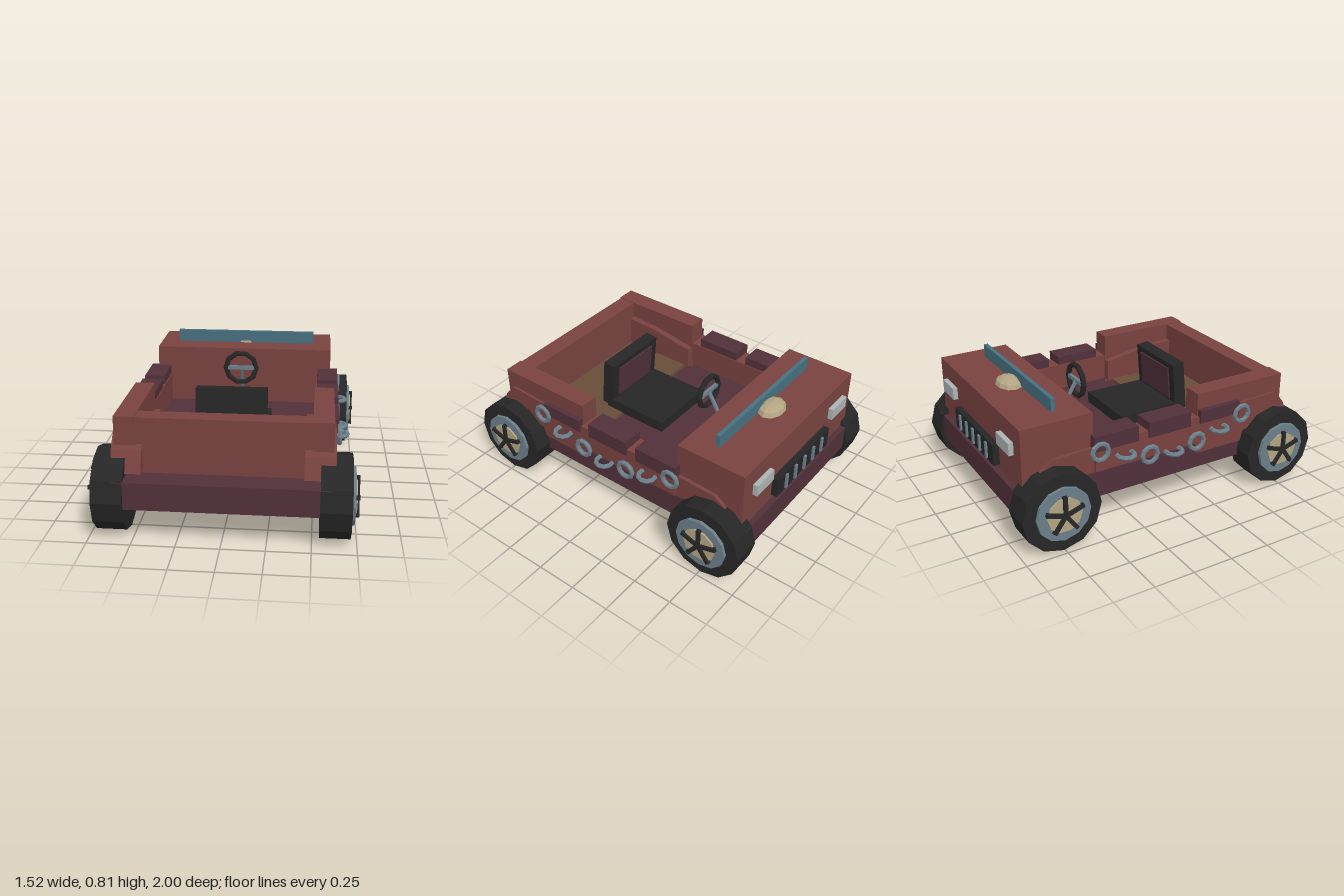
import * as THREE from 'three';

const mat = (name, color) => {
  const m = new THREE.MeshStandardMaterial({ color, flatShading: true });
  m.name = name;
  return m;
};

export function createModel() {
  const red = mat('body red', 0x78423f);
  const maroon = mat('dark maroon', 0x51303a);
  const black = mat('black', 0x262626);
  const steel = mat('blue grey steel', 0x6b7f8a);
  const tan = mat('tan', 0xb3a482);
  const glass = mat('blue glass', 0x477080);
  const brown = mat('brown floor', 0x684d38);
  const lamp = mat('lamp grey', 0xacb2b2);

  const car = new THREE.Group();
  car.name = 'openCar';

  const add = (name, geo, material, parent = car) => {
    const mesh = new THREE.Mesh(geo, material);
    mesh.name = name;
    parent.add(mesh);
    return mesh;
  };
  // Box given by its limits on each axis
  const box = (name, material, x0, x1, y0, y1, z0, z1, parent = car) => {
    const mesh = add(name, new THREE.BoxGeometry(x1 - x0, y1 - y0, z1 - z0), material, parent);
    mesh.position.set((x0 + x1) / 2, (y0 + y1) / 2, (z0 + z1) / 2);
    return mesh;
  };
  // Box on one side of the car; inner and outer are distances from the middle
  const sideBox = (name, material, s, inner, outer, ...rest) =>
    box(name, material, Math.min(s * inner, s * outer), Math.max(s * inner, s * outer), ...rest);
  // Side profile of (z, y) points, extruded across x
  const sidePanel = (name, material, s, inner, outer, points) => {
    const shape = new THREE.Shape(points.map(([z, y]) => new THREE.Vector2(z, y)));
    const geo = new THREE.ExtrudeGeometry(shape, { depth: outer - inner, bevelEnabled: false });
    geo.rotateY(-Math.PI / 2).translate(s > 0 ? outer : -inner, 0, 0);
    return add(name, geo, material);
  };

  // Chassis, hood and rear body
  box('chassis', maroon, -0.6, 0.6, 0.2, 0.36, -0.97, 0.97);
  box('hood', red, -0.59, 0.59, 0.355, 0.735, -0.935, -0.495);
  box('rearWall', red, -0.6, 0.6, 0.358, 0.685, 0.7, 0.815);
  box('rearFloor', brown, -0.49, 0.49, 0.355, 0.385, 0.23, 0.71);
  box('windscreen', glass, -0.47, 0.47, 0.73, 0.815, -0.69, -0.665);

  const dome = add('hoodDome', new THREE.SphereGeometry(1, 10, 6), tan);
  dome.scale.set(0.105, 0.055, 0.077);
  dome.position.set(0, 0.733, -0.733);

  // Grille and lamps
  box('grille', black, -0.29, 0.29, 0.39, 0.52, -0.973, -0.93);
  for (let i = -2; i <= 2; i++) {
    box('grilleBar', steel, i * 0.1 - 0.01, i * 0.1 + 0.01, 0.405, 0.505, -0.985, -0.965);
  }

  for (const s of [1, -1]) {
    sideBox('headlight', lamp, s, 0.33, 0.5, 0.55, 0.625, -0.965, -0.93);

    // Sides, fenders and padded sills
    sideBox('rearRail', red, s, 0.49, 0.607, 0.3, 0.69, 0.195, 0.82);
    sideBox('sidePanel', red, s, 0.5, 0.625, 0.38, 0.55, -0.5, 0.2);
    sidePanel('rearFender', red, s, 0.45, 0.622,
      [[0.89, 0.38], [0.84, 0.5], [0.77, 0.582], [0.5, 0.57], [0.195, 0.52], [0.195, 0.38]]);
    sidePanel('frontFender', red, s, 0.45, 0.612,
      [[-0.495, 0.38], [-0.495, 0.53], [-0.76, 0.52], [-0.83, 0.47], [-0.93, 0.38]]);
    [0.345, -0.0125, -0.37].forEach((z) => {
      sideBox('sillPad', maroon, s, 0.505, 0.638, 0.51, z > 0.2 ? 0.592 : 0.605, z - 0.143, z + 0.143);
    });

    // Hanging chain: links alternate between upright and flat
    const heights = [0.51, 0.45, 0.405, 0.385, 0.405, 0.45, 0.51];
    heights.forEach((y, i) => {
      const link = add('chainLink', new THREE.TorusGeometry(0.051, 0.0145, 6, 10), steel);
      if (i % 2) link.rotation.x = Math.PI / 2;
      else link.rotation.y = Math.PI / 2;
      link.position.set(s * 0.643, y, 0.5 - i * 0.163);
    });

    // Wheels: axis along x, spokes facing outward
    for (const z of [0.757, -0.757]) {
      const wheel = new THREE.Group();
      wheel.name = z > 0 ? 'rearWheel' : 'frontWheel';
      wheel.position.set(s * 0.6275, 0.243, z);
      wheel.rotation.y = s > 0 ? 0 : Math.PI;
      car.add(wheel);
      const disc = (name, r, x0, x1, material, n) => {
        const geo = new THREE.CylinderGeometry(r, r, x1 - x0, n).rotateZ(-Math.PI / 2);
        add(name, geo, material, wheel).position.x = (x0 + x1) / 2;
      };
      disc('tire', 0.243, -0.0875, 0.0875, black, 12);
      disc('rim', 0.166, 0.05, 0.107, steel, 12);
      disc('hub', 0.108, 0.08, 0.117, tan, 10);
      for (let i = 0; i < 5; i++) {
        const geo = new THREE.BoxGeometry(0.022, 0.12, 0.024).translate(0.12, 0.06, 0);
        add('spoke', geo, black, wheel).rotation.x = (i * Math.PI * 2) / 5;
      }
    }
  }

  // Seat with a slightly tilted back
  box('seatCushion', black, -0.215, 0.215, 0.38, 0.45, -0.09, 0.35);
  const back = new THREE.Group();
  back.name = 'seatBack';
  back.position.set(0, 0.4, 0.35);
  back.rotation.x = -0.09;
  car.add(back);
  box('backrest', black, -0.213, 0.213, 0, 0.315, -0.04, 0.04, back);
  box('backrestPad', maroon, -0.16, 0.16, 0.07, 0.28, -0.049, -0.04, back);

  // Steering wheel on its column
  const hub = new THREE.Vector3(0, 0.66, -0.288);
  add('steeringWheel', new THREE.TorusGeometry(0.1, 0.017, 6, 10), black).position.copy(hub);
  box('steeringCrossbar', steel, -0.095, 0.095, 0.648, 0.672, -0.298, -0.278);
  const foot = new THREE.Vector3(0, 0.34, -0.475);
  const dir = hub.clone().sub(foot);
  const column = add('steeringColumn', new THREE.CylinderGeometry(0.013, 0.013, dir.length(), 6), steel);
  column.position.copy(hub).add(foot).multiplyScalar(0.5);
  column.quaternion.setFromUnitVectors(new THREE.Vector3(0, 1, 0), dir.normalize());

  return car;
}
